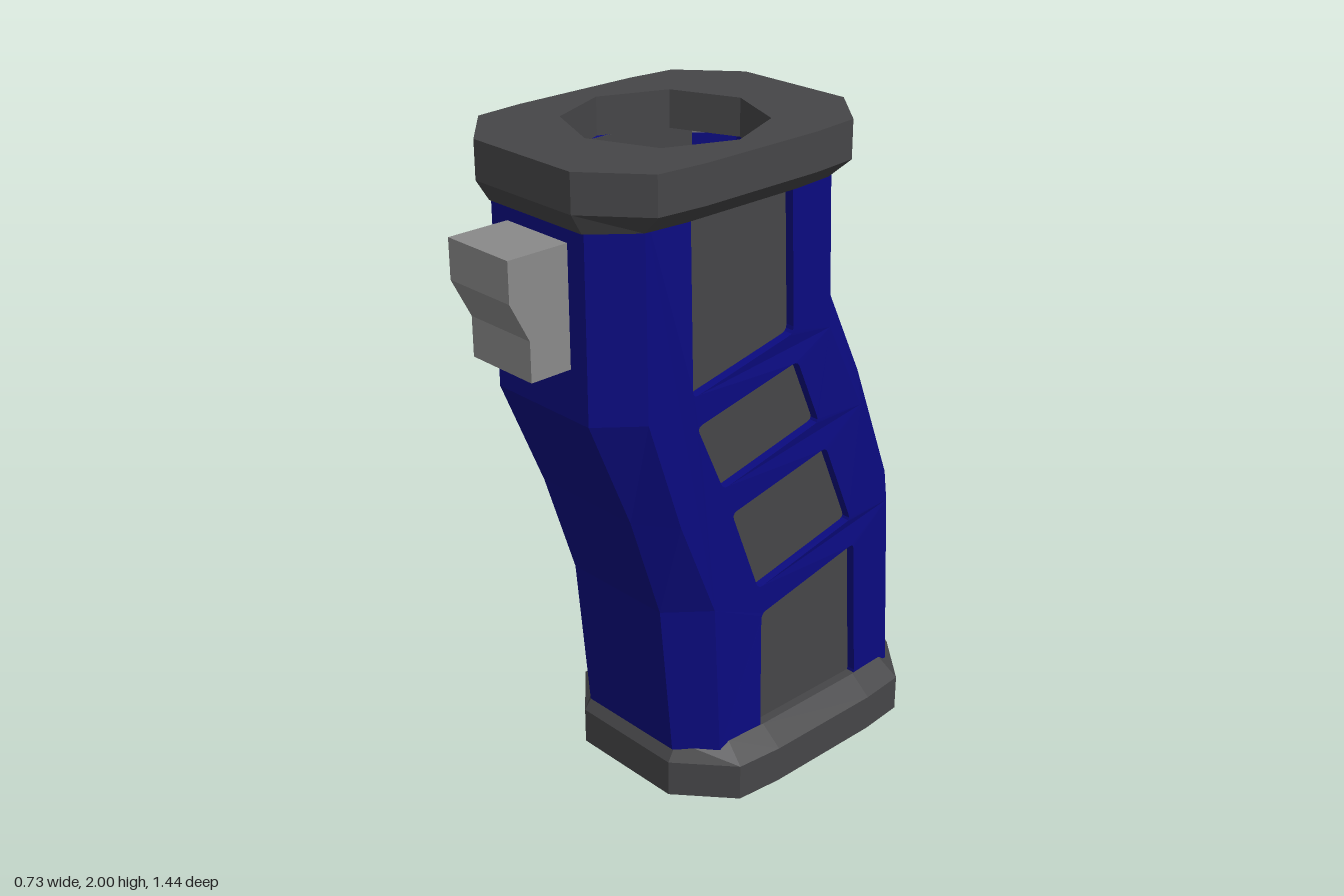
import * as THREE from 'three';

const mat = (name, color, side = THREE.FrontSide) => {
  const m = new THREE.MeshStandardMaterial({ color, side, flatShading: true });
  m.name = name;
  return m;
};

// Skin of quads between rows of [x, y, z] points
function loft(rows) {
  const pos = [];
  for (let i = 0; i < rows.length - 1; i++) {
    for (let j = 0; j < rows[i].length - 1; j++) {
      const a = rows[i][j], b = rows[i][j + 1], c = rows[i + 1][j + 1], d = rows[i + 1][j];
      pos.push(...a, ...b, ...c, ...a, ...c, ...d);
    }
  }
  const g = new THREE.BufferGeometry();
  g.setAttribute('position', new THREE.Float32BufferAttribute(pos, 3));
  g.computeVertexNormals();
  return g;
}

// Closed path with small rounded corners
function roundedPath(pts, r) {
  const path = new THREE.Path();
  const v = pts.map(p => new THREE.Vector2(...p));
  v.forEach((p, i) => {
    const prev = v[(i + v.length - 1) % v.length], next = v[(i + 1) % v.length];
    const a = prev.clone().sub(p).setLength(r).add(p);
    const b = next.clone().sub(p).setLength(r).add(p);
    if (i === 0) path.moveTo(a.x, a.y); else path.lineTo(a.x, a.y);
    path.quadraticCurveTo(p.x, p.y, b.x, b.y);
  });
  path.closePath();
  return path;
}

const toShape = pts => new THREE.Shape(pts.map(p => new THREE.Vector2(...p)));

// Side profile lines as [z, y], from top to bottom
const frontEdge = [[0.53, 1.89], [0.53, 1.3], [0.39, 0.965], [0.285, 0.64], [0.24, 0.15]];
const frontCrease = [[0.415, 1.89], [0.41, 1.3], [0.295, 0.955], [0.165, 0.64], [0.14, 0.15]];
const backCrease = [[-0.26, 1.89], [-0.28, 1.385], [-0.425, 1.1], [-0.565, 0.735], [-0.6, 0.15]];
const backEdge = [[-0.365, 1.89], [-0.38, 1.44], [-0.52, 1.15], [-0.67, 0.76], [-0.7, 0.15]];
const windows = [
  [[0.27, 1.88], [-0.1, 1.88], [-0.12, 1.415], [0.26, 1.335]],
  [[0.245, 1.245], [-0.14, 1.325], [-0.235, 1.11], [0.145, 1.025]],
  [[0.11, 0.935], [-0.27, 1.015], [-0.39, 0.735], [0, 0.65]],
  [[-0.015, 0.56], [-0.41, 0.645], [-0.44, 0.16], [-0.02, 0.16]],
];
const edgeX = 0.185, creaseX = 0.285, sideX = 0.295, panelX = 0.265;

// Octagonal collar outline with slightly bowed sides, as [x, z]
const collarHalf = [[0.19, 0.49], [0.352, 0.35], [0.366, 0.2], [0.366, -0.2], [0.352, -0.35], [0.19, -0.49]];
const neckHalf = [[0.185, 0.453], [0.285, 0.335], [0.297, 0.2], [0.297, -0.2], [0.285, -0.335], [0.185, -0.453]];
const ring = half => [...half, ...half.map(([x, z]) => [-x, z]).reverse()];

export function createModel() {
  const model = new THREE.Group();
  const blue = mat('blue shell', 0x0b0b80, THREE.DoubleSide);
  const dark = mat('dark grey', 0x464648, THREE.DoubleSide);
  const light = mat('light grey', 0x8a8a8a);

  const add = (name, geometry, material, parent = model) => {
    const m = new THREE.Mesh(geometry, material);
    m.name = name;
    parent.add(m);
    return m;
  };

  // Front and back walls of the grip
  const wall = (edge, crease, s) => loft(edge.map(([z, y], i) => {
    const [cz, cy] = crease[i];
    return [[-s * creaseX, cy, cz], [-s * edgeX, y, z], [s * edgeX, y, z], [s * creaseX, cy, cz]];
  }).reverse());
  add('frontWall', wall(frontEdge, frontCrease, 1), blue);
  add('backWall', wall(backEdge, backCrease, -1), blue);

  // Side walls with windows, and the recessed panels behind them
  const outline = [...frontCrease, ...[...backCrease].reverse()];
  for (const s of [1, -1]) {
    const side = s > 0 ? 'left' : 'right';
    const shape = toShape(outline);
    shape.holes = windows.map(w => roundedPath(w, 0.02));
    const depth = sideX - panelX;
    const g = new THREE.ExtrudeGeometry(shape, { depth, bevelEnabled: false, curveSegments: 3 });
    g.rotateY(-Math.PI / 2).translate(s > 0 ? sideX : -panelX, 0, 0);
    // Draw the outer rim in to meet the front and back walls
    const p = g.attributes.position;
    for (let i = 0; i < p.count; i++) {
      const onRim = outline.some(([z, y]) => Math.hypot(p.getZ(i) - z, p.getY(i) - y) < 1e-4);
      if (onRim && Math.abs(p.getX(i)) > 0.29) p.setX(i, s * creaseX);
    }
    g.computeVertexNormals();
    add(side + 'SideWall', g, blue);

    const panel = new THREE.ExtrudeGeometry(toShape(outline), { depth: 0.006, bevelEnabled: false });
    panel.rotateY(-Math.PI / 2).translate(s * panelX + 0.003, 0, 0);
    add(side + 'RecessedPanel', panel, dark);
  }

  // Collars: a straight band and a bevel narrowing to the grip
  const collar = (name, z, bandY, bandH, bevelY, neckY, hole) => {
    const group = new THREE.Group();
    group.name = name;
    group.position.z = z;
    model.add(group);
    const shape = toShape(ring(collarHalf));
    if (hole) {
      const pts = Array.from({ length: 8 }, (_, i) => {
        const a = i * Math.PI / 4;
        return new THREE.Vector2(0.28 * Math.cos(a), 0.28 * Math.sin(a));
      });
      shape.holes.push(new THREE.Path(pts));
    }
    const band = new THREE.ExtrudeGeometry(shape, { depth: bandH, bevelEnabled: false });
    add(name + 'Band', band.rotateX(-Math.PI / 2).translate(0, bandY, 0), dark, group);
    const loop = (half, y) => {
      const r = ring(half).map(([x, zz]) => [x, y, zz]);
      return [...r, r[0]];
    };
    const rows = [loop(collarHalf, bevelY), loop(neckHalf, neckY)];
    if (neckY > bevelY) rows.reverse();
    add(name + 'Bevel', loft(rows), dark, group);
    return group;
  };
  collar('topCollar', 0.083, 1.89, 0.11, 1.89, 1.83, true);
  const base = collar('bottomCollar', -0.23, 0, 0.115, 0.115, 0.17, false);
  // Floor seen down through the opening
  const floor = new THREE.ShapeGeometry(toShape(ring(neckHalf)));
  add('floor', floor.rotateX(-Math.PI / 2).translate(0, 0.17, 0), dark, base);

  // Stepped button on the front
  const profile = [[0.52, 1.445], [0.66, 1.445], [0.66, 1.56], [0.72, 1.675], [0.72, 1.79], [0.52, 1.79]];
  const button = new THREE.ExtrudeGeometry(toShape(profile), { depth: 0.24, bevelEnabled: false });
  add('button', button.rotateY(-Math.PI / 2).translate(0.12, 0, 0), light);

  return model;
}
